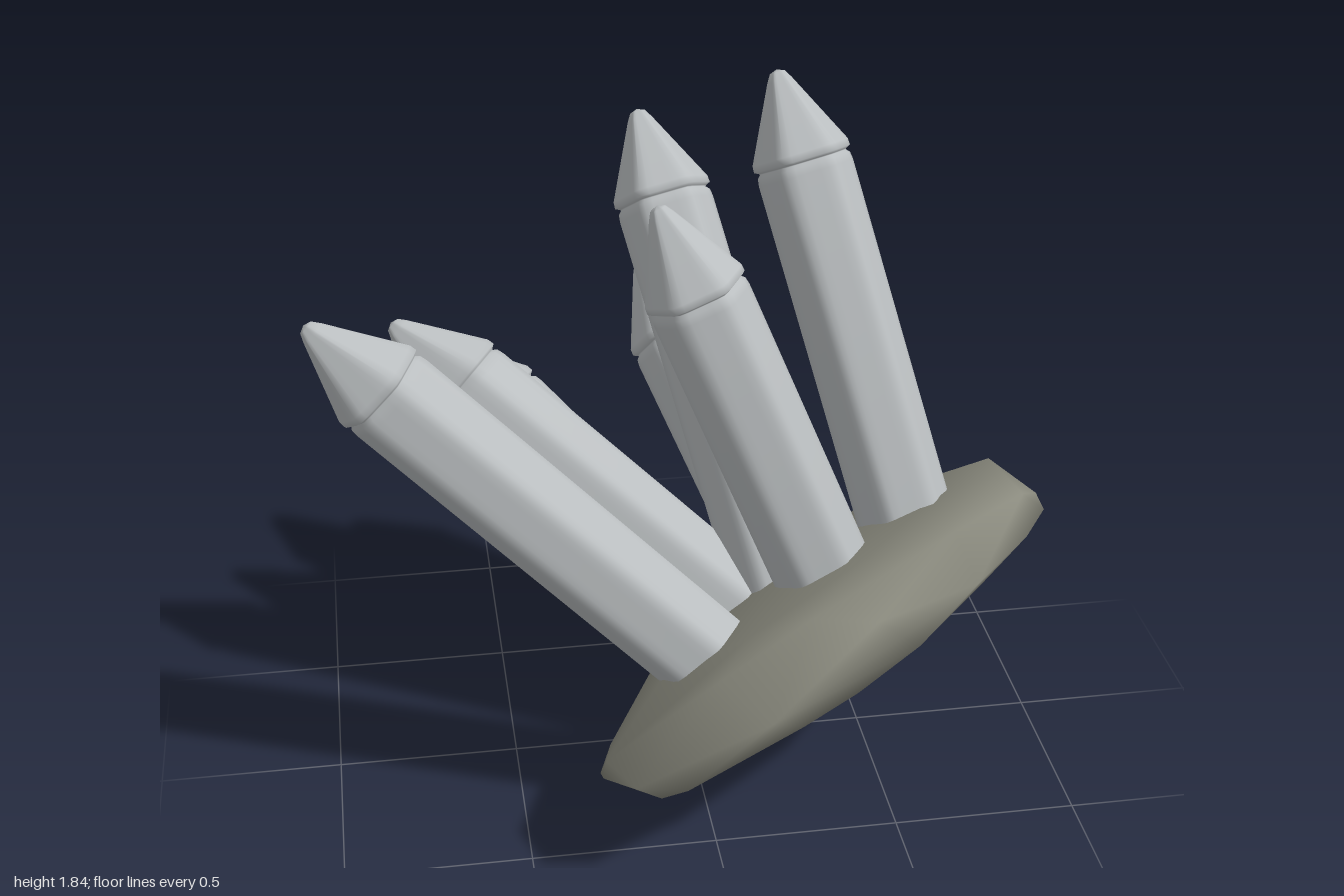
import * as THREE from 'three';
import { mergeVertices } from 'three/addons/utils/BufferGeometryUtils.js';
import { ConvexGeometry } from 'three/addons/geometries/ConvexGeometry.js';

const crystalGrey = new THREE.MeshStandardMaterial({ color: 0xbabec0 });
crystalGrey.name = 'crystalGrey';
const rockGrey = new THREE.MeshStandardMaterial({ color: 0x8a8a7e });
rockGrey.name = 'rockGrey';

const V = (x, y, z) => new THREE.Vector3(x, y, z);

// Tilted, lens-shaped rock: centre, short axis (normal) and two long axes
const centre = V(0.35, 0.41, 0.15);
const normal = V(-0.475, 0.772, -0.423).normalize();
const axisU = V(0.804, 0.183, -0.565).normalize();
const axisV = V().crossVectors(normal, axisU).normalize();

function smooth(geometry) {
  geometry.deleteAttribute('normal');
  geometry.deleteAttribute('uv');
  const merged = mergeVertices(geometry, 1e-4);
  merged.computeVertexNormals();
  return merged;
}

function createRock() {
  // Irregular rim points as x,y / z,y / x,z pairs, lifted onto the lens
  const frontRim = [[-0.3, 0.33], [-0.3, 0.18], [-0.18, 0.08], [0.38, 0.17], [0.66, 0.27],
    [1, 0.53], [1, 0.7], [0.9, 0.81], [0.66, 0.82], [0.24, 0.72], [0, 0.57]];
  const sideRim = [[0.75, 0.55], [0.7, 0.33], [0.54, 0.19], [0.27, 0.09],
    [-0.3, 0.67], [0, 0.79], [0.36, 0.82], [0.6, 0.73]];
  const topRim = [[-0.3, 0.47], [-0.24, 0.69], [0.09, 0.74], [0.48, 0.55], [0.71, 0.42], [0.9, 0.22], [1, 0.05],
    [1, -0.23], [0.85, -0.38], [0.2, -0.33], [-0.03, -0.14], [-0.25, 0.2]];
  const c = centre;
  // Lowest corner and the two corners of the back edge
  const points = [V(0.01, 0, -0.06), V(0.64, 0.49, -0.445), V(0.47, 0.3, -0.415)];
  const add = (p) => {
    if (points.every((q) => q.distanceTo(p) > 0.05)) points.push(p);
  };
  frontRim.forEach(([x, y]) => add(V(x, y, c.z - 0.73 * (x - c.x) + 1.013 * (y - c.y))));
  sideRim.forEach(([z, y]) => add(V(c.x - 0.672 * (z - c.z) + 1.1 * (y - c.y), y, z)));
  topRim.forEach(([x, z]) => add(V(x, c.y + 0.5 * (x - c.x) + 0.423 * (z - c.z), z)));

  // Domed upper and lower faces: pole height and ring height
  for (const [pole, ring] of [[0.23, 0.16], [-0.2, -0.115]]) {
    add(c.clone().addScaledVector(normal, pole));
    for (let i = 0; i < 8; i++) {
      const a = (i / 8) * Math.PI * 2;
      add(c.clone()
        .addScaledVector(normal, ring)
        .addScaledVector(axisU, 0.51 * Math.cos(a))
        .addScaledVector(axisV, 0.39 * Math.sin(a)));
    }
  }
  const rock = new THREE.Mesh(smooth(new ConvexGeometry(points)), rockGrey);
  rock.name = 'rockBase';
  return rock;
}

// Six-sided crystal with softened corners, a groove and a pointed cap
function createCrystal(tip, through, radius = 0.14, capLength = 0.26) {
  const axis = tip.clone().sub(through).normalize();
  // Root the shaft on the middle plane of the rock
  const depth = through.clone().sub(centre).dot(normal) / axis.dot(normal);
  const foot = through.clone().addScaledVector(axis, -depth);
  const length = tip.distanceTo(foot);
  const neck = length - capLength;
  const profile = [
    [0, 0], [radius, 0], [radius, neck - 0.03], [radius * 0.98, neck - 0.01], [radius * 0.91, neck],
    [radius * 0.93, neck + 0.003], [radius * 1.02, neck + 0.009], [radius * 1.01, neck + 0.028],
    [0.036, length - 0.03], [0.022, length - 0.008], [0, length],
  ].map(([r, y]) => new THREE.Vector2(r, y));
  const geometry = new THREE.LatheGeometry(profile, 36);

  // Press the round section into a hexagon with corners on the x axis
  const pos = geometry.attributes.position;
  const sixth = Math.PI / 3;
  for (let i = 0; i < pos.count; i++) {
    const x = pos.getX(i), z = pos.getZ(i);
    const angle = Math.atan2(x, z);
    const fromFlat = angle - Math.round(angle / sixth) * sixth;
    const k = Math.min(Math.cos(sixth / 2) / Math.cos(fromFlat), 0.965);
    pos.setX(i, x * k);
    pos.setZ(i, z * k);
  }
  const mesh = new THREE.Mesh(smooth(geometry), crystalGrey);
  mesh.position.copy(foot);
  mesh.quaternion.setFromUnitVectors(V(0, 1, 0), axis);
  return mesh;
}

export function createModel() {
  const model = new THREE.Group();
  model.name = 'crystalCluster';
  model.add(createRock());

  // Each crystal: tip, then a lower point on its axis
  const crystals = [
    [V(-0.99, 1.44, 0.12), V(0, 0.48, 0.32)],
    [V(-0.77, 1.215, -0.34), V(0.02, 0.55, 0.03)],
    [V(-0.64, 1.015, -0.605), V(-0.11, 0.52, -0.25)],
    [V(-0.03, 1.175, -0.74), V(0.22, 0.65, -0.265)],
    [V(-0.05, 1.69, -0.615), V(0.19, 0.75, -0.05)],
    [V(0.315, 1.835, -0.47), V(0.58, 0.8, -0.03)],
    [V(-0.085, 1.665, 0.025), V(0.295, 0.75, 0.2)],
  ];
  crystals.forEach(([tip, through], i) => {
    const crystal = createCrystal(tip, through);
    crystal.name = `crystal${i + 1}`;
    model.add(crystal);
  });
  return model;
}
